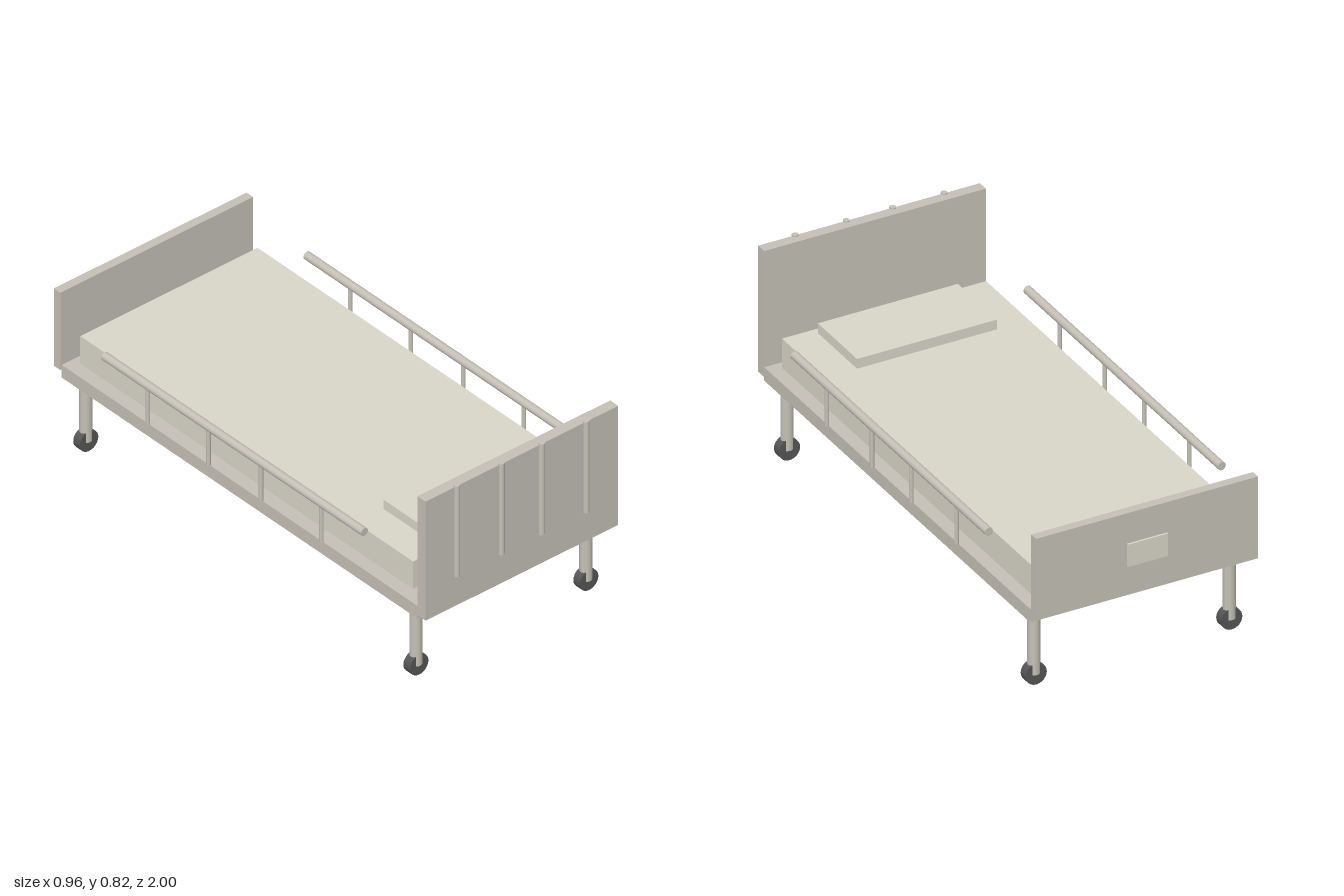
import * as THREE from 'three';

const mat = (color) => new THREE.MeshStandardMaterial({ color });

export function createModel() {
  const bed = new THREE.Group();
  bed.name = 'hospitalBed';
  const frameMat = mat(0xc4c0b6);
  const beddingMat = mat(0xd8d5c8);
  const wheelMat = mat(0x555555);

  // Box given by its [min, max] range on each axis
  function box(name, [x0, x1], [y0, y1], [z0, z1], material) {
    const mesh = new THREE.Mesh(new THREE.BoxGeometry(x1 - x0, y1 - y0, z1 - z0), material);
    mesh.position.set((x0 + x1) / 2, (y0 + y1) / 2, (z0 + z1) / 2);
    mesh.name = name;
    bed.add(mesh);
  }

  // Cylinder of a given length centred on a point, along y or z
  function rod(name, radius, length, x, y, z, material, alongZ = false) {
    const mesh = new THREE.Mesh(new THREE.CylinderGeometry(radius, radius, length, 24), material);
    if (alongZ) mesh.rotation.x = Math.PI / 2;
    mesh.position.set(x, y, z);
    mesh.name = name;
    bed.add(mesh);
  }

  // Base, bedding and end boards
  const wide = [-0.44, 0.44];
  box('baseFrame', wide, [0.29, 0.344], [-0.95, 0.946], frameMat);
  box('mattress', [-0.405, 0.405], [0.365, 0.482], [-0.892, 0.882], beddingMat);
  box('pillow', [-0.278, 0.278], [0.482, 0.521], [0.575, 0.855], beddingMat);
  box('headboard', wide, [0.304, 0.811], [0.946, 0.989], frameMat);
  box('footboard', wide, [0.318, 0.647], [-0.992, -0.957], frameMat);
  box('footboardPlate', [-0.08, 0.08], [0.435, 0.525], [-1, -0.985], beddingMat);

  // Upright bars on the outside of the headboard
  for (const x of [-0.297, -0.093, 0.091, 0.294]) {
    rod('headboardBar', 0.012, 0.387, x, 0.6225, 0.988, frameMat);
  }

  for (const side of [-1, 1]) {
    // Side rail with its posts
    const railX = side * 0.462;
    rod('sideRail', 0.016, 1.385, railX, 0.53, -0.003, frameMat, true);
    for (const z of [0.46, 0.138, -0.142, -0.465]) {
      rod('railPost', 0.008, 0.165, railX, 0.4475, z, frameMat);
    }
    // Legs with casters, the leg running down to the wheel centre
    for (const z of [0.877, -0.882]) {
      rod('leg', 0.023, 0.255, side * 0.388, 0.1675, z, frameMat);
      rod('casterWheel', 0.042, 0.036, side * 0.388, 0.042, z, wheelMat, true);
    }
  }
  return bed;
}
